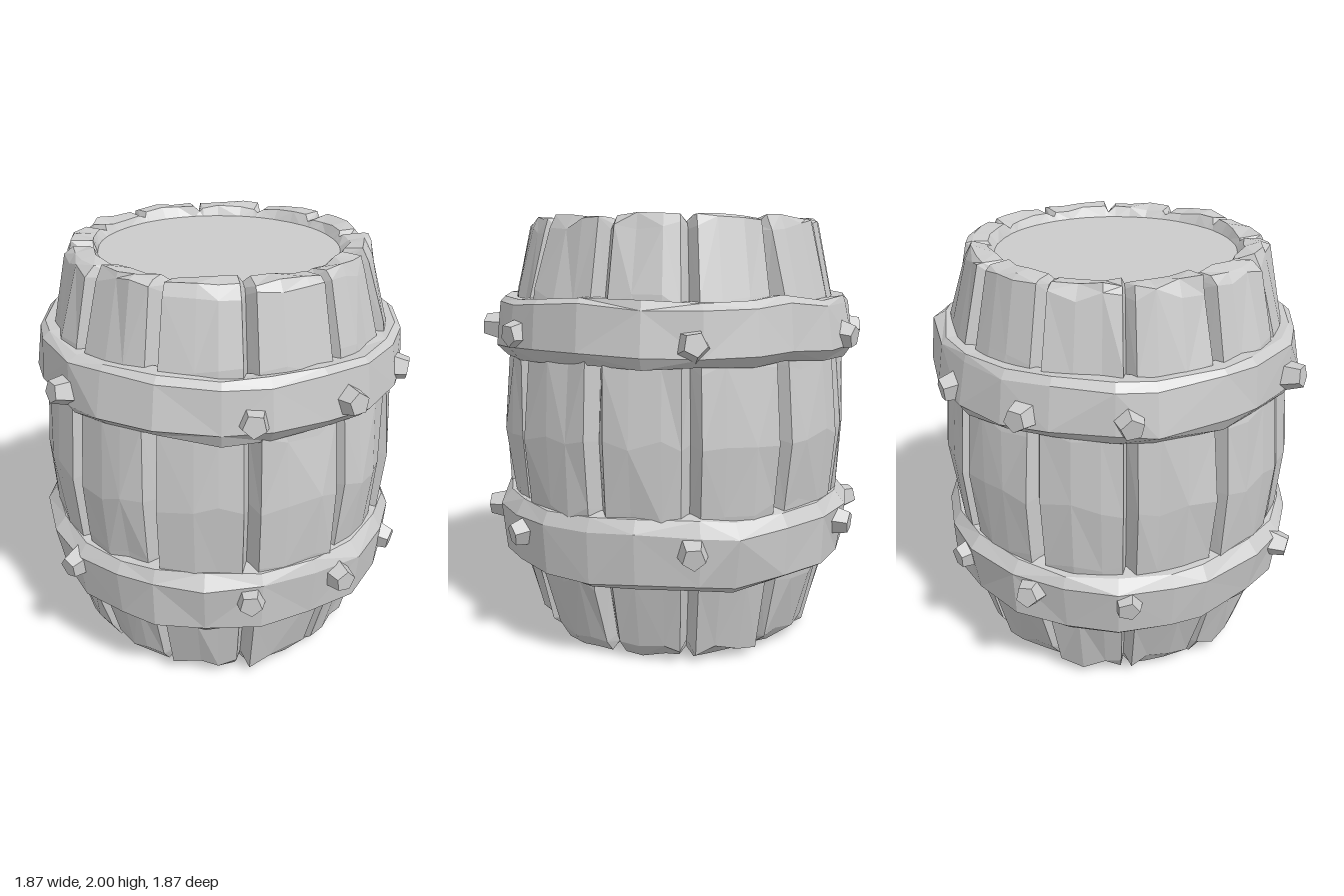
import * as THREE from 'three';

const material = new THREE.MeshStandardMaterial({ color: 0xcccccc, flatShading: true });

// Small seeded noise in the range -1..1 for the hand-hewn look
let seed = 11;
function jitter(amount) {
  seed = (seed * 16807) % 2147483647;
  return ((seed / 2147483647) * 2 - 1) * amount;
}

// Closed ring skin: each column is { angle, points: [[radius, y], ...] }, listed bottom to top
function ringMesh(name, columns) {
  const rows = columns[0].points.length;
  const positions = [];
  const index = [];
  columns.forEach(({ angle, points }, c) => {
    const next = (c + 1) % columns.length;
    points.forEach(([r, y], k) => {
      positions.push(r * Math.sin(angle), y, r * Math.cos(angle));
      if (k === rows - 1) return;
      const a = c * rows + k;
      const b = next * rows + k;
      if ((c + k) % 2) index.push(a, b, b + 1, a, b + 1, a + 1);
      else index.push(a, b, a + 1, b, b + 1, a + 1);
    });
  });
  const geometry = new THREE.BufferGeometry();
  geometry.setAttribute('position', new THREE.Float32BufferAttribute(positions, 3));
  geometry.setIndex(index);
  geometry.computeVertexNormals();
  const mesh = new THREE.Mesh(geometry, material);
  mesh.name = name;
  return mesh;
}

// Stave surface from the lower inner rim to the upper inner rim
const STAVE = [
  [0.55, 0.07], [0.575, 0.02], [0.62, 0.015], [0.685, 0.07], [0.765, 0.37], [0.815, 0.72],
  [0.84, 1.03], [0.815, 1.36], [0.77, 1.64], [0.695, 1.95], [0.665, 1.99], [0.585, 1.985], [0.55, 1.94],
];
// Bottom of the groove between two staves
const GROOVE = [
  [0.55, 0.07], [0.565, 0.05], [0.6, 0.05], [0.62, 0.09], [0.69, 0.37], [0.74, 0.72],
  [0.765, 1.03], [0.74, 1.36], [0.695, 1.64], [0.635, 1.93], [0.615, 1.955], [0.57, 1.965], [0.55, 1.94],
];

function createStaves() {
  const count = 12;
  const step = (Math.PI * 2) / count;
  const columns = [];
  for (let i = 0; i < count; i++) {
    const start = i * step;
    const lift = jitter(0.007);
    columns.push({ angle: start + jitter(0.008), points: GROOVE });
    const gaps = [0.025 + Math.abs(jitter(0.035)), 0.025 + Math.abs(jitter(0.035))];
    const angles = [gaps[0], step * 0.36 + jitter(0.04), step * 0.66 + jitter(0.04), step - gaps[1]];
    for (const offset of angles) {
      const points = STAVE.map(([r, y], k) => {
        if (k === 0 || k === STAVE.length - 1) return [r, y];
        const rim = k < 3 || k > 9;
        return [r + lift + jitter(0.012), Math.min(2, Math.max(0, y + jitter(rim ? 0.012 : 0.035)))];
      });
      columns.push({ angle: start + offset, points });
    }
  }
  return ringMesh('staves', columns);
}

// Hammered hoop around the staves
function createHoop(name, profile) {
  const count = 22;
  const columns = [];
  for (let i = 0; i < count; i++) {
    const wave = jitter(0.012);
    columns.push({
      angle: ((i + jitter(0.2)) / count) * Math.PI * 2,
      points: profile.map(([r, y], k) => {
        const hidden = k === 0 || k === profile.length - 1;
        return [r + (hidden ? 0 : 0.004 + jitter(0.014)), y + wave + jitter(0.008)];
      }),
    });
  }
  return ringMesh(name, columns);
}

// Chunky five-sided rivets set around a hoop
function createRivets(name, y) {
  const group = new THREE.Group();
  group.name = name;
  for (const degrees of [0, 60, 90, 120, 180, 240, 270, 300]) {
    const angle = THREE.MathUtils.degToRad(degrees);
    const geometry = new THREE.CylinderGeometry(0.052, 0.082, 0.13, 5);
    geometry.rotateY(jitter(Math.PI));
    geometry.rotateX(Math.PI / 2 + jitter(0.2));
    geometry.rotateY(jitter(0.2));
    const rivet = new THREE.Mesh(geometry, material);
    rivet.name = 'rivet';
    const radius = degrees % 90 ? 0.845 : 0.862;
    rivet.position.set(radius * Math.sin(angle), y + jitter(0.012), radius * Math.cos(angle));
    rivet.rotation.y = angle;
    group.add(rivet);
  }
  return group;
}

// Flat recessed lid, facing up or down
function createHead(name, y, up) {
  const head = new THREE.Mesh(new THREE.CircleGeometry(0.565, 24), material);
  head.name = name;
  head.rotation.x = up ? -Math.PI / 2 : Math.PI / 2;
  head.position.y = y;
  return head;
}

export function createModel() {
  const barrel = new THREE.Group();
  barrel.name = 'barrel';
  barrel.add(
    createStaves(),
    createHead('topHead', 1.945, true),
    createHead('bottomHead', 0.065, false),
    createHoop('upperHoop', [[0.74, 1.37], [0.82, 1.365], [0.865, 1.415], [0.843, 1.61], [0.81, 1.64], [0.73, 1.635]]),
    createHoop('lowerHoop', [[0.72, 0.385], [0.8, 0.38], [0.84, 0.41], [0.865, 0.64], [0.825, 0.7], [0.75, 0.71]]),
    createRivets('upperRivets', 1.47),
    createRivets('lowerRivets', 0.575),
  );
  return barrel;
}
